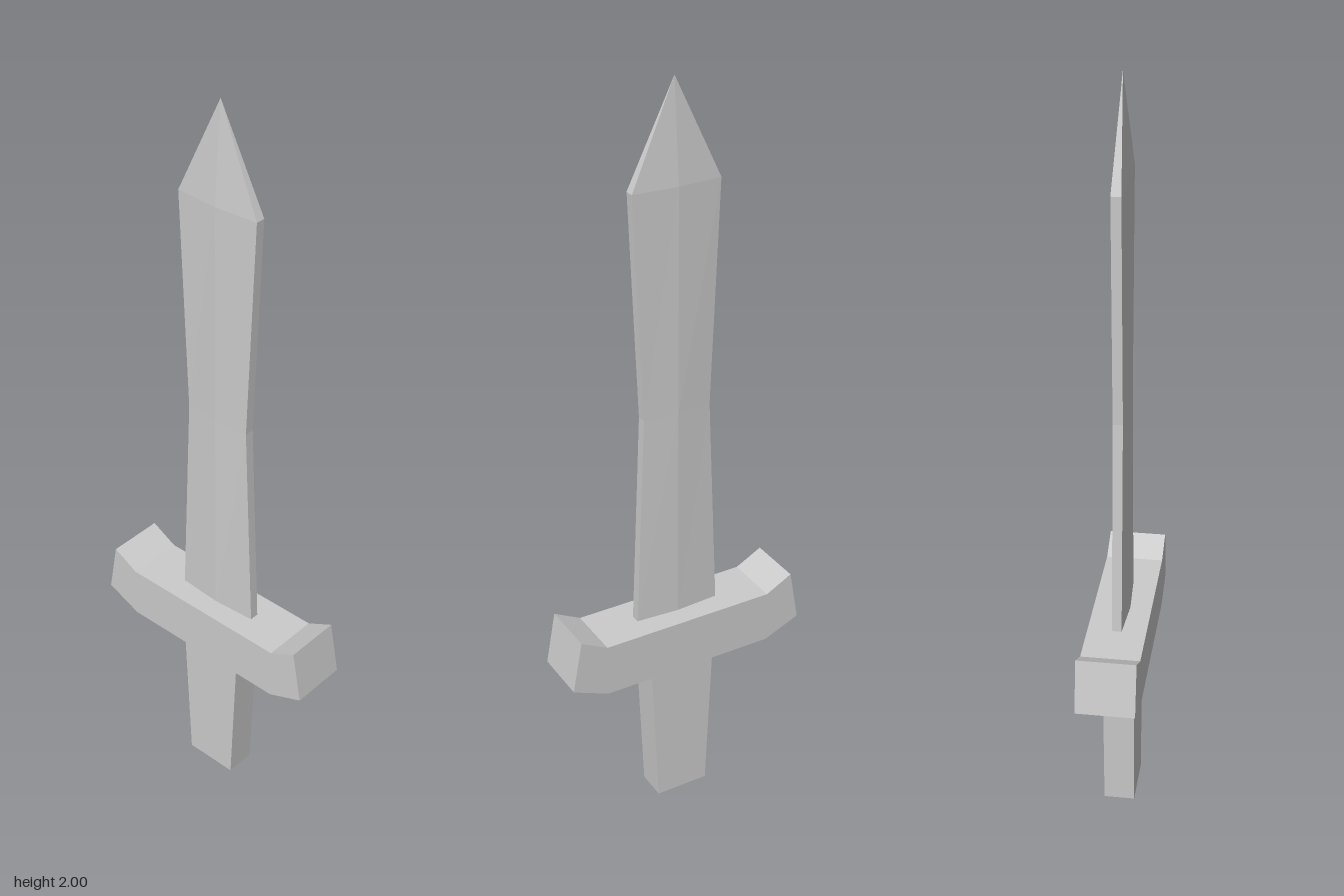
import * as THREE from 'three';

const material = new THREE.MeshStandardMaterial({ color: 0xcccccc, flatShading: true });

// Joins rings of [x, y, z] points, ordered counter-clockwise from above, bottom to top.
function loft(rings) {
  const positions = [];
  const tri = (a, b, c) => positions.push(...a, ...b, ...c);
  const n = rings[0].length;
  for (let r = 0; r < rings.length - 1; r++) {
    const lower = rings[r], upper = rings[r + 1];
    for (let i = 0; i < n; i++) {
      const j = (i + 1) % n;
      if (upper.length === 1) {
        tri(lower[i], lower[j], upper[0]); // closes to a point
      } else {
        tri(lower[i], lower[j], upper[j]);
        tri(lower[i], upper[j], upper[i]);
      }
    }
  }
  const top = rings[rings.length - 1];
  for (let i = 1; i < n - 1; i++) {
    tri(rings[0][0], rings[0][i + 1], rings[0][i]);
    if (top.length > 1) tri(top[0], top[i], top[i + 1]);
  }
  const geometry = new THREE.BufferGeometry();
  geometry.setAttribute('position', new THREE.Float32BufferAttribute(positions, 3));
  geometry.computeVertexNormals();
  return geometry;
}

// Flattened hexagon with a central ridge on both faces
function bladeRing(y, w, edge = 0.0125, ridge = 0.02) {
  return [
    [-w, y, edge], [0, y, ridge], [w, y, edge],
    [w, y, -edge], [0, y, -ridge], [-w, y, -edge],
  ];
}

function boxRing(y, w, d) {
  return [[-w, y, d], [w, y, d], [w, y, -d], [-w, y, -d]];
}

export function createModel() {
  const group = new THREE.Group();
  const add = (name, geometry) => {
    const mesh = new THREE.Mesh(geometry, material);
    mesh.name = name;
    group.add(mesh);
  };

  // Blade, narrowed at the waist and closing to a point
  add('blade', loft([
    bladeRing(0.57, 0.118),
    bladeRing(1.16, 0.093),
    bladeRing(1.745, 0.118),
    [[0, 2, 0]],
  ]));

  // Crossguard with upturned ends, mirrored about the middle
  const half = [[0.24, 0.433], [0.339, 0.475], [0.313, 0.617], [0.24, 0.578]];
  const outline = [...half, ...half.map(([x, y]) => [-x, y]).reverse()];
  const depth = 0.152;
  const guard = new THREE.ExtrudeGeometry(
    new THREE.Shape(outline.map(([x, y]) => new THREE.Vector2(x, y))),
    { depth, bevelEnabled: false },
  );
  guard.translate(0, 0, -depth / 2);
  add('crossguard', guard);

  // Grip, tapering towards the foot
  add('grip', loft([boxRing(0, 0.074, 0.041), boxRing(0.445, 0.094, 0.041)]));

  return group;
}
